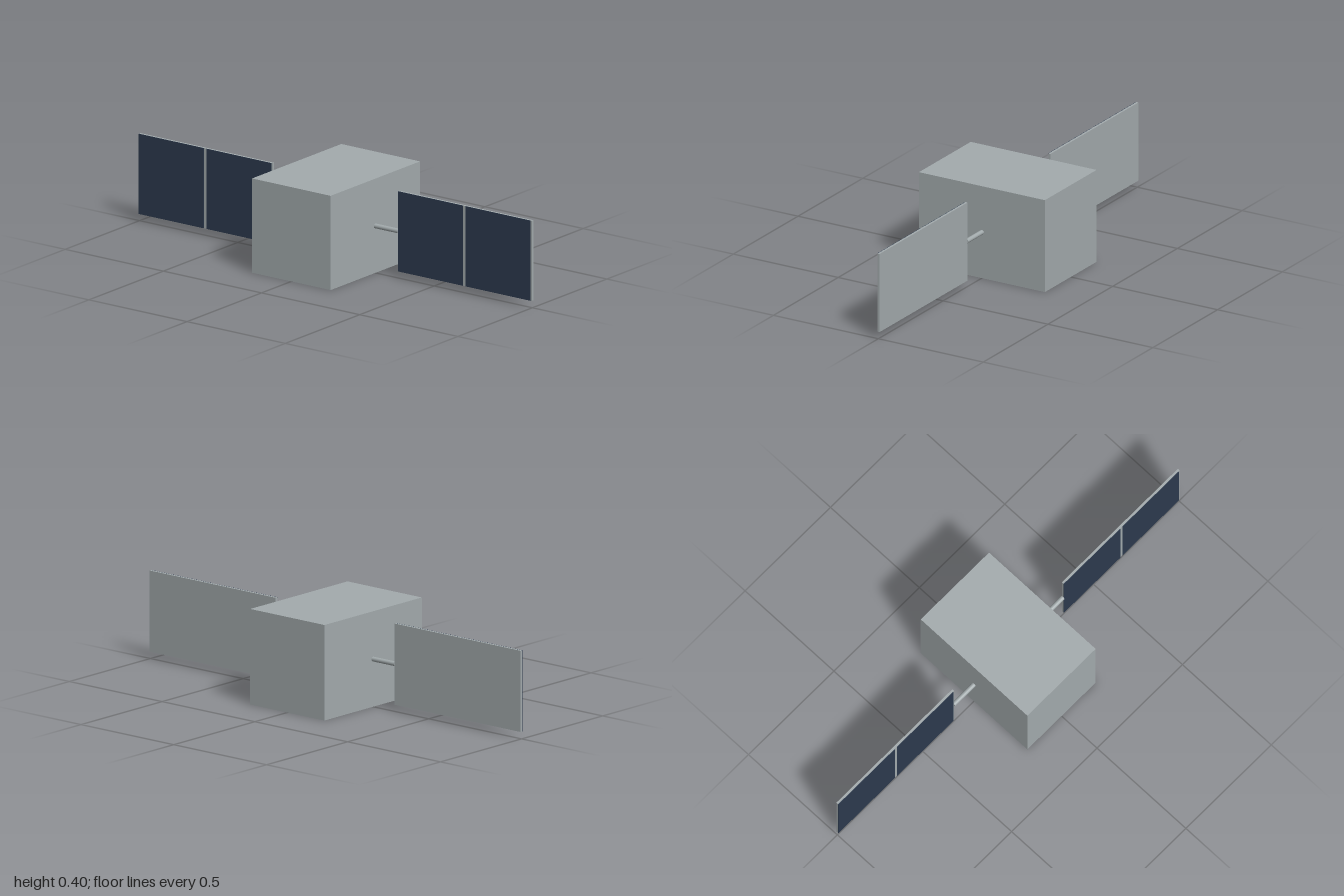
import * as THREE from 'three';

export function createModel() {
  const model = new THREE.Group();
  model.name = 'satellite';

  const grey = new THREE.MeshStandardMaterial({ color: 0xa3abad });
  grey.name = 'hull grey';
  const blue = new THREE.MeshStandardMaterial({ color: 0x2c3a4e });
  blue.name = 'solar blue';

  const add = (parent, name, geometry, material, x, y, z) => {
    const mesh = new THREE.Mesh(geometry, material);
    mesh.name = name;
    mesh.position.set(x, y, z);
    parent.add(mesh);
    return mesh;
  };

  // Central body
  add(model, 'body', new THREE.BoxGeometry(0.4, 0.4, 0.6), grey, 0, 0.2, 0);

  const panelWidth = 0.68, panelHeight = 0.34, panelDepth = 0.01;
  const cellWidth = 0.33, cellDepth = 0.002, cellPitch = 0.344;
  const armGeometry = new THREE.CylinderGeometry(0.01, 0.01, 0.12, 12).rotateZ(Math.PI / 2);

  for (const [label, side] of [['left', 1], ['right', -1]]) {
    const wing = new THREE.Group();
    wing.name = `${label}Wing`;
    wing.position.y = 0.2;
    model.add(wing);

    // Arm between body and panel
    add(wing, 'arm', armGeometry, grey, side * 0.26, 0, 0);

    // Backing plate with two dark cells on its front
    const panelX = side * 0.66;
    add(wing, 'panel', new THREE.BoxGeometry(panelWidth, panelHeight, panelDepth), grey, panelX, 0, -cellDepth / 2);
    for (let i = 0; i < 2; i++) {
      const x = panelX - panelWidth / 2 + cellWidth / 2 + i * cellPitch;
      add(wing, 'solarCell', new THREE.BoxGeometry(cellWidth, panelHeight, cellDepth), blue, x, 0, panelDepth / 2);
    }
  }
  return model;
}
